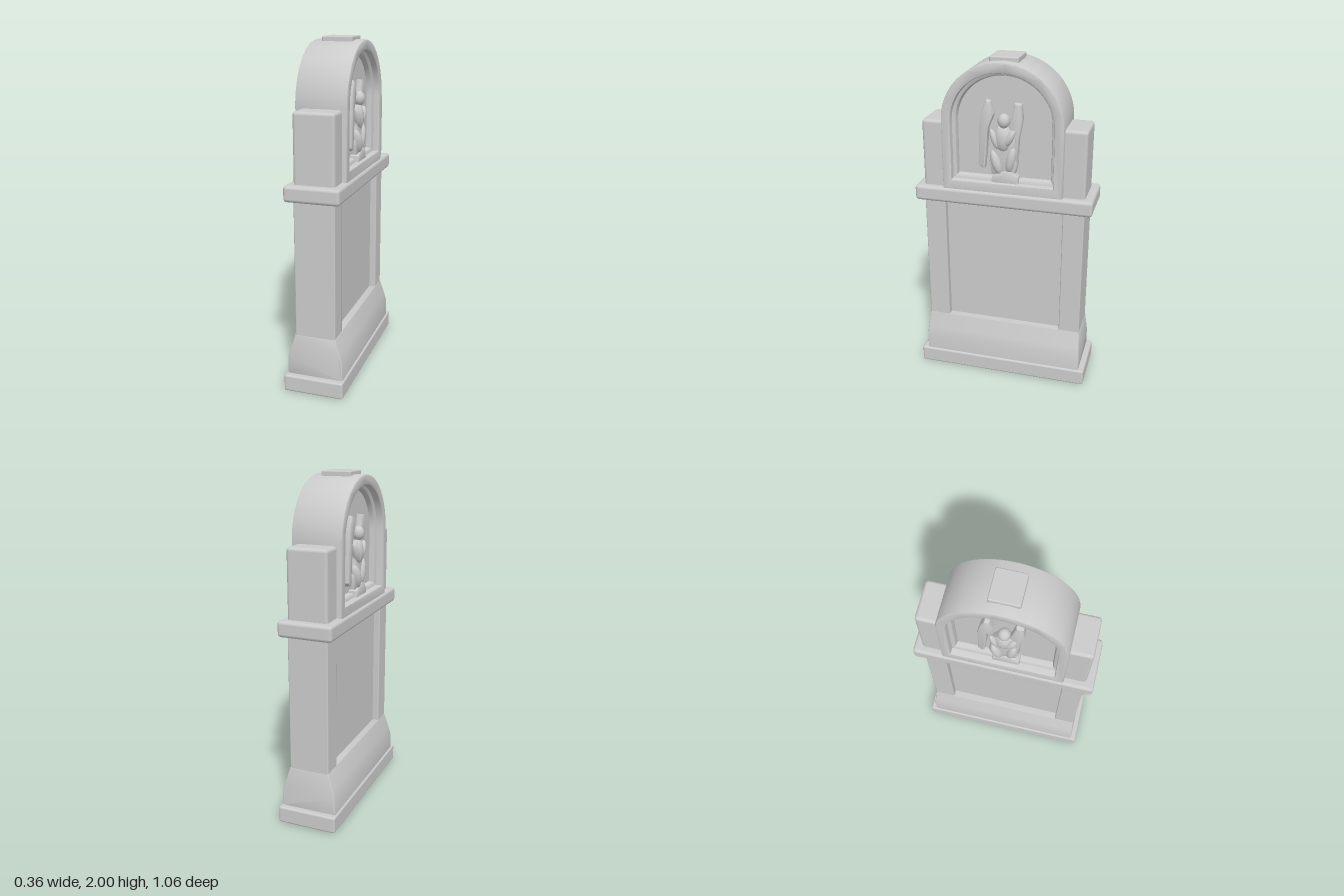
import * as THREE from 'three';
import { toCreasedNormals } from 'three/addons/utils/BufferGeometryUtils.js';
import { RoundedBoxGeometry } from 'three/addons/geometries/RoundedBoxGeometry.js';

const stone = new THREE.MeshStandardMaterial({ color: 0xcccccc });

function add(parent, name, geometry) {
  const mesh = new THREE.Mesh(geometry, stone);
  mesh.name = name;
  parent.add(mesh);
  return mesh;
}

// Softened block given by its extents
function block(parent, name, [x0, x1], [y0, y1], [z0, z1], radius) {
  const mesh = add(parent, name, new RoundedBoxGeometry(x1 - x0, y1 - y0, z1 - z0, 2, radius));
  mesh.position.set((x0 + x1) / 2, (y0 + y1) / 2, (z0 + z1) / 2);
  return mesh;
}

// Outline drawn in (u = -z, y), extruded along x from x0 to x1, bevel included
function slab(shape, x0, x1, bevel, inset = bevel) {
  const g = new THREE.ExtrudeGeometry(shape, {
    depth: x1 - x0 - 2 * bevel, bevelEnabled: bevel > 0, bevelThickness: bevel,
    bevelSize: inset, bevelOffset: -inset, bevelSegments: 2, curveSegments: 20,
  });
  g.translate(0, 0, x0 + bevel);
  g.rotateY(Math.PI / 2);
  return toCreasedNormals(g, 0.6);
}

// Round-headed outline
function archPath(Type, halfWidth, bottom, spring, top) {
  const p = new Type();
  p.moveTo(-halfWidth, bottom);
  p.lineTo(halfWidth, bottom);
  p.lineTo(halfWidth, spring);
  p.absellipse(0, spring, halfWidth, top - spring, 0, Math.PI, false);
  p.lineTo(-halfWidth, bottom);
  return p;
}

function polygon(points) {
  return new THREE.Shape(points.map(([u, y]) => new THREE.Vector2(u, y)));
}

// Winged figure carved in relief on the niche wall
function createFigure() {
  const figure = new THREE.Group();
  figure.name = 'wingedFigure';
  const relief = (name, points, depth, bevel = 0.012) =>
    add(figure, name, slab(polygon(points), 0.05, 0.07 + depth, bevel, bevel * 0.7));
  const lump = (name, [x, y, u], [sx, sy, sz], tilt = 0) => {
    const mesh = add(figure, name, new THREE.SphereGeometry(1, 14, 10));
    mesh.position.set(x, y, -u);
    mesh.scale.set(sx, sy, sz);
    mesh.rotation.x = tilt;
  };
  relief('pedestal', [[-0.07, 1.27], [0.095, 1.27], [0.09, 1.32], [0.06, 1.35], [0.02, 1.36],
    [-0.03, 1.34], [-0.065, 1.32]], 0.055);
  relief('leftWing', [[-0.11, 1.36], [-0.1, 1.45], [-0.088, 1.6], [-0.055, 1.68], [-0.075, 1.75],
    [-0.1, 1.76], [-0.125, 1.7], [-0.142, 1.6], [-0.148, 1.38], [-0.13, 1.36]], 0.04);
  relief('rightWing', [[0.045, 1.42], [0.085, 1.44], [0.09, 1.54], [0.112, 1.66], [0.105, 1.745],
    [0.065, 1.75], [0.045, 1.66], [0.025, 1.58]], 0.035);
  relief('robe', [[-0.035, 1.32], [0.02, 1.34], [0.07, 1.34], [0.085, 1.4], [0.07, 1.48],
    [0.075, 1.56], [0.045, 1.6], [-0.03, 1.61], [-0.065, 1.55], [-0.055, 1.47],
    [-0.085, 1.4], [-0.07, 1.33]], 0.045, 0.018);
  lump('head', [0.105, 1.648, 0.004], [0.035, 0.042, 0.035]);
  lump('torso', [0.1, 1.54, 0.0], [0.035, 0.075, 0.05]);
  lump('foldedArm', [0.115, 1.55, 0.04], [0.022, 0.055, 0.022], -0.5);
  lump('otherArm', [0.11, 1.54, -0.05], [0.022, 0.06, 0.02], 0.35);
  lump('kneelingLeg', [0.105, 1.4, -0.04], [0.035, 0.075, 0.03], 0.3);
  lump('bentLeg', [0.105, 1.42, 0.045], [0.03, 0.08, 0.028], -0.2);
  return figure;
}

export function createModel() {
  const model = new THREE.Group();
  model.name = 'gravestone';

  // Stepped foot
  block(model, 'foot', [-0.178, 0.178], [0, 0.1], [-0.53, 0.53], 0.012);

  // Flared plinth, its profile drawn in (x, y) and run along z
  const half = [[0.168, 0.09], [0.165, 0.2], [0.152, 0.25], [0.122, 0.345]];
  const profile = polygon([...half, ...half.map(([x, y]) => [-x, y]).reverse()]);
  const plinth = new THREE.ExtrudeGeometry(profile, {
    depth: 0.97, bevelThickness: 0.01, bevelSize: 0.008, bevelOffset: -0.008, bevelSegments: 2,
  });
  plinth.translate(0, 0, -0.485);
  // Ends draw in slightly toward the top
  const pos = plinth.attributes.position;
  for (let i = 0; i < pos.count; i++) {
    const t = THREE.MathUtils.clamp((pos.getY(i) - 0.2) / 0.14, 0, 1);
    pos.setZ(i, pos.getZ(i) * (1 - 0.022 * t));
  }
  plinth.deleteAttribute('normal');
  plinth.computeVertexNormals();
  add(model, 'plinth', toCreasedNormals(plinth, 0.5));

  // Recessed panel between two pillars, which rise again above the ledge
  block(model, 'panel', [-0.08, 0.08], [0.3, 1.17], [-0.38, 0.38], 0.003);
  for (const s of [-1, 1]) {
    const span = s > 0 ? [0.355, 0.482] : [-0.482, -0.355];
    const upperSpan = s > 0 ? [0.33, 0.482] : [-0.482, -0.33];
    block(model, 'pillar', [-0.12, 0.12], [0.32, 1.17], span, 0.008);
    block(model, 'shoulder', [-0.12, 0.12], [1.2, 1.626], upperSpan, 0.02);
  }
  block(model, 'ledge', [-0.163, 0.16], [1.137, 1.23], [-0.53, 0.53], 0.02);

  // Arched head: rim, hollowed cove and back wall
  const rim = archPath(THREE.Shape, 0.356, 1.21, 1.63, 1.98);
  rim.holes.push(archPath(THREE.Path, 0.3, 1.285, 1.63, 1.92));
  add(model, 'archRim', slab(rim, -0.152, 0.148, 0.01));
  const cove = archPath(THREE.Shape, 0.345, 1.22, 1.63, 1.965);
  cove.holes.push(archPath(THREE.Path, 0.275, 1.31, 1.63, 1.895));
  add(model, 'nicheCove', slab(cove, -0.11, 0.11, 0.035, 0.025));
  add(model, 'nicheWall', slab(archPath(THREE.Shape, 0.33, 1.22, 1.63, 1.95), -0.072, 0.072, 0));
  block(model, 'capstone', [-0.09, 0.09], [1.95, 2], [-0.083, 0.083], 0.008);

  // The same carving on both faces
  for (const turn of [0, Math.PI]) {
    const figure = createFigure();
    figure.rotation.y = turn;
    model.add(figure);
  }
  return model;
}
